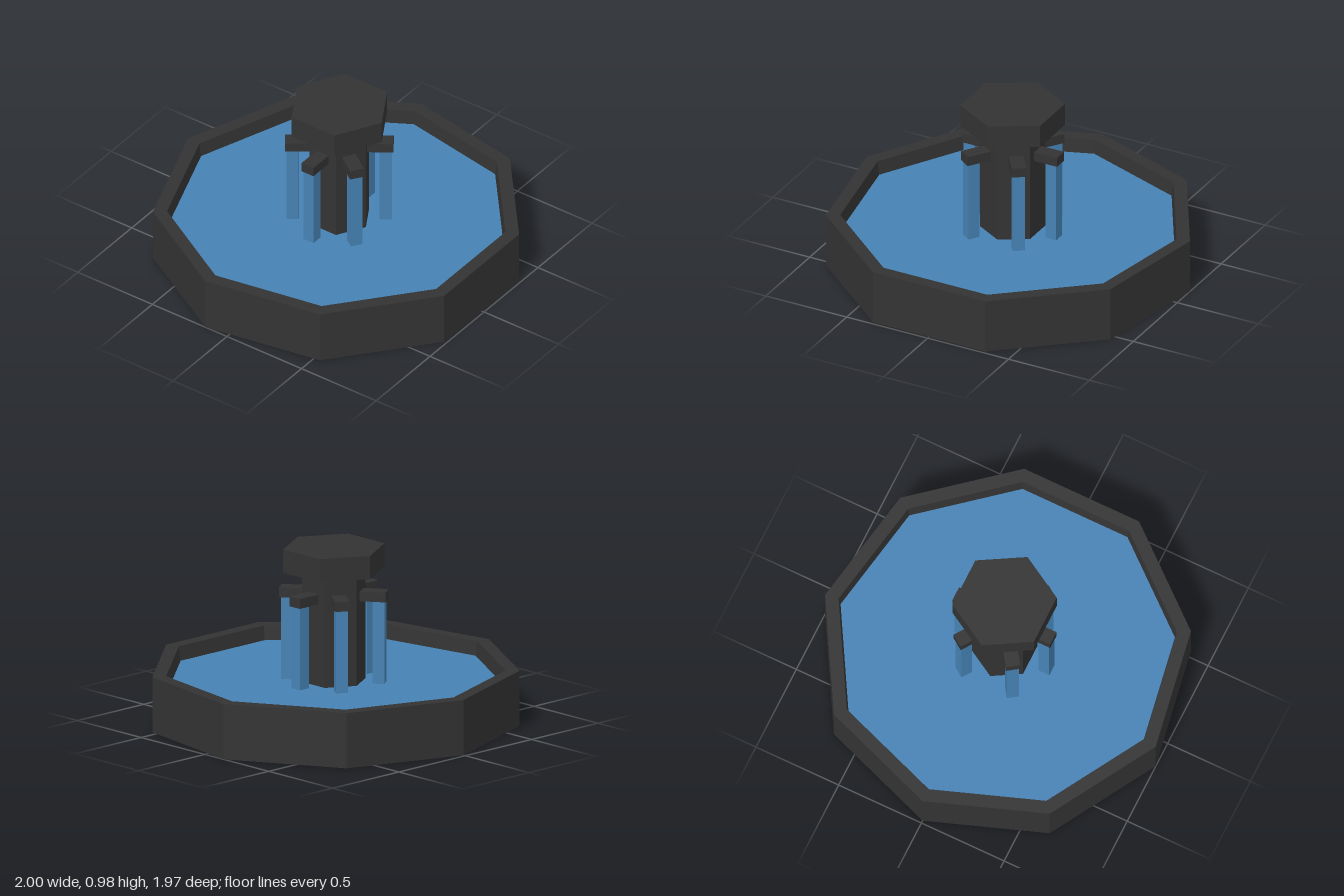
import * as THREE from 'three';

const CENTRE_Z = 0.03; // the nine-sided basin's axis sits slightly forward
const WATER_Y = 0.23;

export function createModel() {
  const stone = new THREE.MeshStandardMaterial({ color: 0x333333, flatShading: true });
  const water = new THREE.MeshStandardMaterial({ color: 0x4682b4, flatShading: true });

  const model = new THREE.Group();
  model.name = 'fountain';
  const body = new THREE.Group();
  body.name = 'fountainBody';
  body.position.z = CENTRE_Z;
  model.add(body);

  const add = (parent, name, geometry, material, x = 0, y = 0, z = 0) => {
    const mesh = new THREE.Mesh(geometry, material);
    mesh.name = name;
    mesh.position.set(x, y, z);
    parent.add(mesh);
    return mesh;
  };

  // Nine-sided basin: closed underside, outer wall, rim, slightly sloping inner wall, floor
  const profile = [[0, 0], [1.015, 0], [1.015, 0.31], [0.938, 0.31], [0.925, 0.2], [0, 0.2]]
    .map(([r, y]) => new THREE.Vector2(r, y));
  add(body, 'basin', new THREE.LatheGeometry(profile, 9, Math.PI), stone);

  // Pool of water filling the basin
  const pool = new THREE.CylinderGeometry(0.927, 0.925, 0.03, 9, 1, false, Math.PI);
  add(body, 'pool', pool, water, 0, WATER_Y - 0.015);

  // Hexagonal column and its wider cap
  add(body, 'column', new THREE.CylinderGeometry(0.178, 0.178, 0.65, 6), stone, 0, 0.525);
  add(body, 'cap', new THREE.CylinderGeometry(0.284, 0.284, 0.13, 6), stone, 0, 0.915);

  // Six spouts around the column, each with a falling jet of water
  const spoutShape = new THREE.BoxGeometry(0.145, 0.055, 0.08);
  const jetHeight = 0.69 - WATER_Y + 0.01;
  const jetShape = new THREE.BoxGeometry(0.066, jetHeight, 0.066);
  [0, 55, 125, 180, 235, 305].forEach((degrees) => {
    const arm = new THREE.Group();
    arm.name = 'spoutWithJet';
    arm.rotation.y = THREE.MathUtils.degToRad(degrees);
    add(arm, 'spout', spoutShape, stone, 0.2225, 0.7175);
    add(arm, 'waterJet', jetShape, water, 0.253, 0.69 - jetHeight / 2);
    body.add(arm);
  });

  return model;
}
